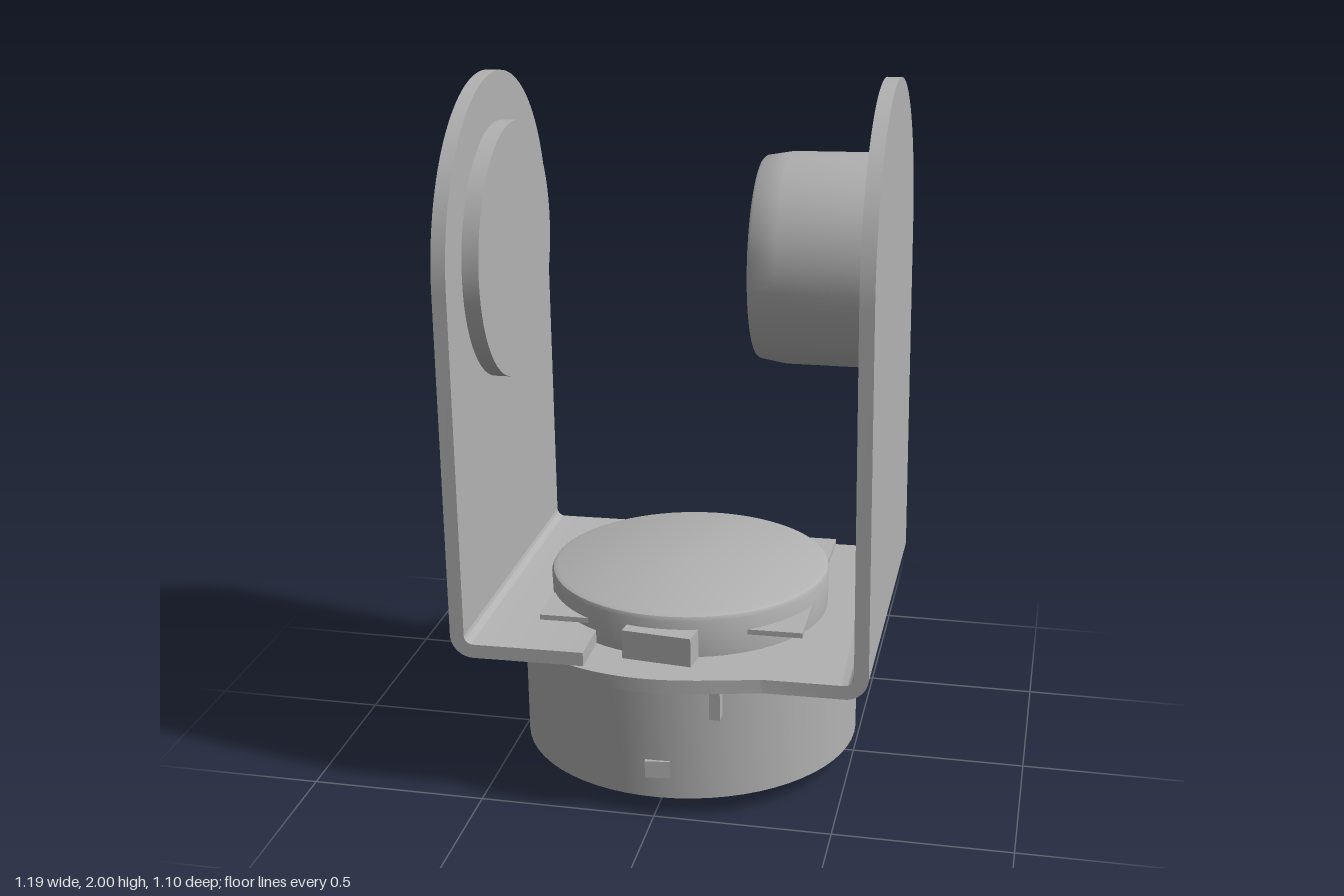
import * as THREE from 'three';
import { toCreasedNormals } from 'three/addons/utils/BufferGeometryUtils.js';

const gray = new THREE.MeshStandardMaterial({ color: 0xb2b2b2 });
gray.name = 'plain gray';

const crease = (geo) => toCreasedNormals(geo, 0.6);
const lathe = (pts, seg = 64) =>
  crease(new THREE.LatheGeometry(pts.map(([x, y]) => new THREE.Vector2(x, y)), seg));
const extrude = (shape, depth) =>
  crease(new THREE.ExtrudeGeometry(shape, { depth, bevelEnabled: false, curveSegments: 32 }));

export function createModel() {
  const root = new THREE.Group();
  root.name = 'yokeBracket';
  // the whole assembly leans very slightly
  const model = new THREE.Group();
  model.name = 'assembly';
  model.rotation.z = 0.013;
  root.add(model);

  const add = (name, geo, x = 0, y = 0, z = 0, ry = 0) => {
    const mesh = new THREE.Mesh(geo, gray);
    mesh.name = name;
    mesh.position.set(x, y, z);
    mesh.rotation.y = ry;
    model.add(mesh);
    return mesh;
  };
  const box = (name, w, h, d, x, y, z, ry) => add(name, new THREE.BoxGeometry(w, h, d), x, y, z, ry);

  // base drum
  add('baseDrum', lathe([[0, 0.055], [0.49, 0.055], [0.49, 0.41], [0, 0.41]]), 0.012);

  // shallow cone underneath, cut flat along one side
  const cutSide = (geo) => {
    const p = geo.attributes.position;
    for (let i = 0; i < p.count; i++) p.setX(i, Math.max(p.getX(i), -0.25));
    geo.computeVertexNormals();
    return crease(geo);
  };
  add('baseCone', cutSide(lathe([[0, 0.02], [0.26, 0.02], [0.28, 0.003], [0.487, 0.058]])), 0.012);

  // bottom rim with an octagonal recess
  const rim = new THREE.Shape().absarc(0, 0, 0.28, 0, Math.PI * 2);
  const octagon = new THREE.Path();
  for (let i = 0; i < 8; i++) {
    const a = (i + 0.5) * Math.PI / 4;
    octagon[i ? 'lineTo' : 'moveTo'](0.238 * Math.cos(a), 0.238 * Math.sin(a));
  }
  octagon.closePath();
  rim.holes.push(octagon);
  const rimGeo = extrude(rim, 0.02);
  rimGeo.rotateX(-Math.PI / 2);
  add('bottomRim', cutSide(rimGeo), 0.012, 0.003, 0);

  // small lugs on the drum
  box('frontRib', 0.03, 0.1, 0.04, 0.175, 0.36, 0.475);
  box('backRib', 0.03, 0.1, 0.04, 0.01, 0.36, -0.49);
  box('frontCatch', 0.07, 0.05, 0.03, 0.01, 0.145, 0.483, 0.15);
  box('bottomCatch', 0.08, 0.04, 0.18, 0.27, 0.027, -0.1);
  box('bottomTab', 0.09, 0.015, 0.06, -0.265, 0.03, -0.125);

  // flange plate: round on one side, squared off towards the left arm
  const plate = new THREE.Shape();
  plate.moveTo(0.53, -0.503);
  plate.lineTo(0.53, 0.503);
  plate.lineTo(0.31, 0.503);
  plate.bezierCurveTo(0.2, 0.525, 0.1, 0.552, 0, 0.552);
  plate.absarc(0, 0, 0.552, Math.PI / 2, Math.PI * 1.5, false);
  plate.bezierCurveTo(0.1, -0.552, 0.2, -0.525, 0.31, -0.503);
  plate.lineTo(0.53, -0.503);
  const plateGeo = extrude(plate, 0.04);
  plateGeo.rotateX(-Math.PI / 2);
  add('flangePlate', plateGeo, 0, 0.407, 0);

  // upright arm with a rounded top, extruded through its thickness
  const armGeo = (bottom) => {
    const s = new THREE.Shape();
    s.moveTo(-0.503, bottom);
    s.lineTo(0.503, bottom);
    s.lineTo(0.503, 1.49);
    s.absarc(0, 1.49, 0.503, 0, Math.PI, false);
    s.lineTo(-0.503, bottom);
    const g = extrude(s, 0.04);
    g.rotateY(-Math.PI / 2); // thickness runs to -x
    return g;
  };
  // bent corner joining an arm to its floor, drawn for outer x and floor bottom y
  const bendGeo = (sign, outer, y, end) => {
    const r = 0.065, t = 0.04, cx = outer - r, cy = y + r;
    const s = new THREE.Shape();
    s.moveTo(end, y);
    s.lineTo(cx, y);
    s.absarc(cx, cy, r, -Math.PI / 2, 0, false);
    s.lineTo(outer - t, cy);
    s.absarc(cx, cy, r - t, 0, -Math.PI / 2, true);
    s.lineTo(end, y + t);
    s.closePath();
    const g = extrude(s, 1.006);
    g.translate(0, 0, -0.503);
    if (sign < 0) g.rotateY(Math.PI);
    return g;
  };
  add('leftArm', armGeo(0.472), 0.597);
  add('leftBend', bendGeo(1, 0.597, 0.407, 0.5));
  add('rightArm', armGeo(0.512), -0.529);
  add('rightFloorBend', bendGeo(-1, 0.569, 0.447, 0.19));

  // turntable disc with its thin square plate and tabs
  add('turntable', lathe([[0, 0.445], [0.403, 0.445], [0.407, 0.556], [0.402, 0.567], [0.39, 0.573], [0, 0.573]], 72), 0.012, 0, 0);
  box('squarePlate', 0.75, 0.015, 0.71, 0.018, 0.508, -0.02);
  box('frontTab', 0.2, 0.086, 0.07, 0.008, 0.488, 0.412, -0.13);
  box('backTab', 0.195, 0.086, 0.07, 0.02, 0.488, -0.41);
  const point = new THREE.Shape();
  point.moveTo(-0.04, 0.44);
  point.lineTo(0.04, 0.44);
  point.lineTo(0, 0.5);
  point.closePath();
  const pointGeo = extrude(point, 0.03);
  pointGeo.rotateX(-Math.PI / 2);
  add('backPointer', pointGeo, 0.015, 0.447, 0);

  // round pad inside the right arm
  const pad = lathe([[0, 0], [0.363, 0], [0.363, 0.05], [0, 0.05]]);
  pad.rotateZ(-Math.PI / 2);
  add('roundPad', pad, -0.532, 1.492, 0);

  // barrel inside the left arm, tapered at its free end
  const barrel = lathe([[0, 0], [0.295, 0], [0.293, 0.255], [0.281, 0.325], [0.275, 0.332], [0, 0.332]]);
  barrel.rotateZ(Math.PI / 2);
  add('barrel', barrel, 0.562, 1.495, 0);

  return root;
}
